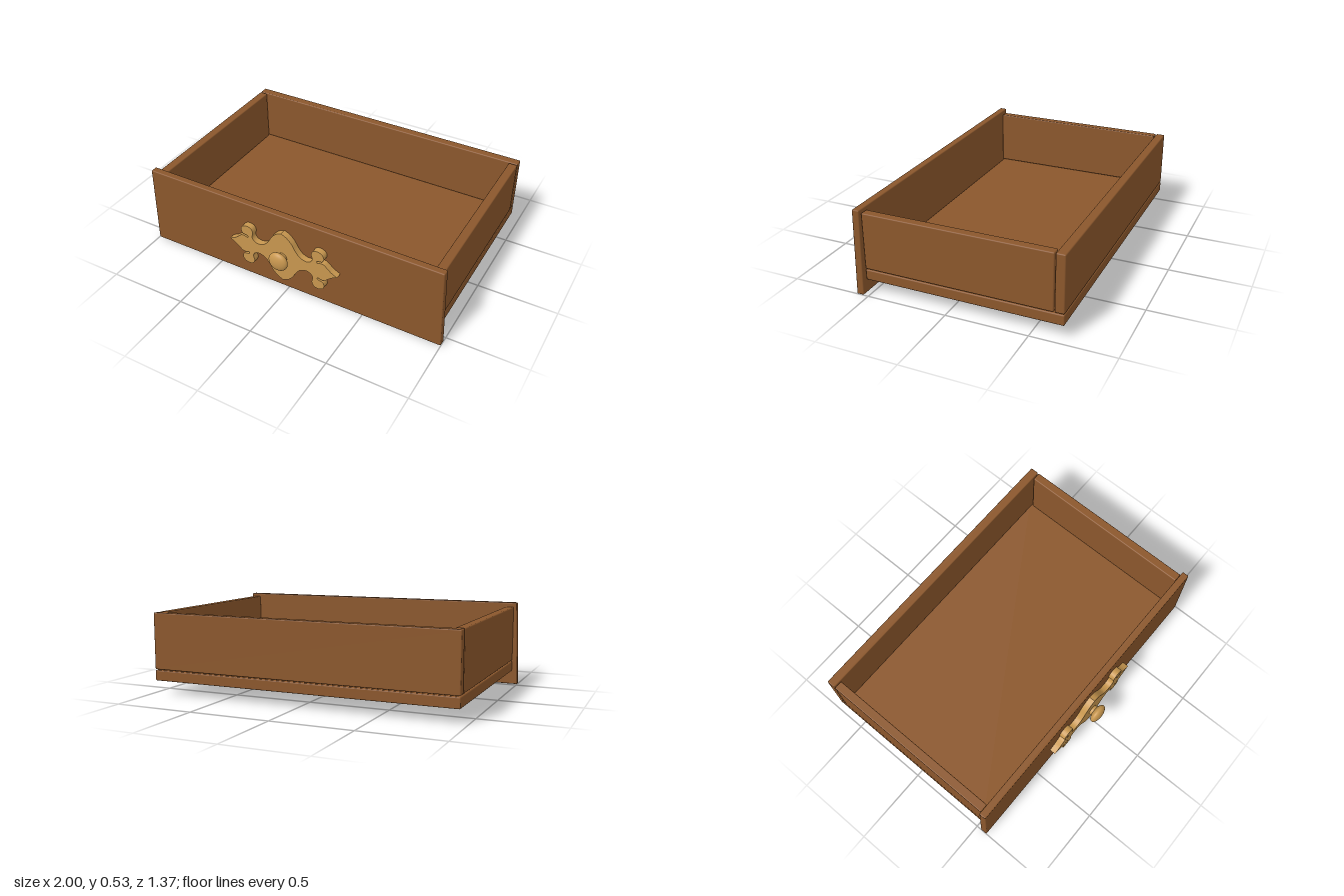
import * as THREE from 'three';
import { RoundedBoxGeometry } from 'three/addons/geometries/RoundedBoxGeometry.js';

export function createModel() {
  const drawer = new THREE.Group();
  drawer.name = 'drawer';
  const wood = new THREE.MeshStandardMaterial({ color: 0x8b572c });
  wood.name = 'wood';
  const brass = new THREE.MeshStandardMaterial({ color: 0xc8974f });
  brass.name = 'brass';

  const add = (parent, name, geometry, material) => {
    const mesh = new THREE.Mesh(geometry, material);
    mesh.name = name;
    parent.add(mesh);
    return mesh;
  };

  // A board with softened edges, given by its limits on each axis
  const board = (name, [x0, x1], [y0, y1], [z0, z1]) => {
    const geometry = new RoundedBoxGeometry(x1 - x0, y1 - y0, z1 - z0, 2, 0.007);
    geometry.translate((x0 + x1) / 2, (y0 + y1) / 2, (z0 + z1) / 2);
    return add(drawer, name, geometry, wood);
  };

  // Box of the drawer
  board('bottomPanel', [-0.965, 0.965], [0.087, 0.152], [-0.687, 0.527]);
  board('backPanel', [-0.965, 0.965], [0.157, 0.507], [-0.687, -0.631]);
  board('leftPanel', [0.91, 0.965], [0.157, 0.507], [-0.625, 0.527]);
  board('rightPanel', [-0.965, -0.91], [0.157, 0.507], [-0.625, 0.527]);

  // Front panel, narrowing slightly upward with a faintly sloping top
  const front = board('frontPanel', [-1, 1], [0, 0.53], [0.53, 0.575]);
  const p = front.geometry.attributes.position;
  for (let i = 0; i < p.count; i++) {
    const x = p.getX(i), t = p.getY(i) / 0.53;
    p.setXYZ(i, x * (1 - 0.019 * t), p.getY(i) + t * (0.0005 - 0.0035 * x), p.getZ(i));
  }

  // Handle, sitting a touch off centre
  const handle = new THREE.Group();
  handle.name = 'handle';
  handle.position.set(-0.015, 0.261, 0);
  drawer.add(handle);

  // One quarter of the plate outline: smooth runs that meet at sharp corners
  const runs = [
    [[0, 0.177], [0.035, 0.16], [0.067, 0.128], [0.095, 0.08], [0.125, 0.048], [0.165, 0.036],
      [0.192, 0.045], [0.207, 0.07], [0.2, 0.105], [0.213, 0.132], [0.243, 0.141], [0.274, 0.128],
      [0.284, 0.102], [0.272, 0.077], [0.246, 0.072]],
    [[0.246, 0.072], [0.235, 0.064], [0.24, 0.056], [0.262, 0.062], [0.282, 0.06], [0.302, 0.045],
      [0.33, 0.021], [0.37, 0]],
  ];
  const quarter = runs.flatMap((run) =>
    new THREE.CatmullRomCurve3(run.map(([x, y]) => new THREE.Vector3(x, y, 0)), false, 'centripetal')
      .getPoints(run.length * 4).slice(0, -1));
  quarter.push(new THREE.Vector3(0.37, 0, 0));

  const mirror = (pts, sx, sy) => pts.map((q) => new THREE.Vector2(q.x * sx, q.y * sy));
  const outline = [
    ...mirror(quarter, 1, 1),
    ...mirror(quarter, 1, -1).reverse().slice(1),
    ...mirror(quarter, -1, -1).slice(1),
    ...mirror(quarter, -1, 1).reverse().slice(1, -1),
  ];
  const plate = new THREE.ExtrudeGeometry(new THREE.Shape(outline), {
    depth: 0.043, bevelEnabled: false,
  });
  plate.translate(0, 0, 0.571);
  add(handle, 'handlePlate', plate, brass);

  // Knob on a short stem
  const stem = new THREE.CylinderGeometry(0.033, 0.033, 0.05, 32);
  stem.rotateX(Math.PI / 2);
  add(handle, 'knobStem', stem, brass).position.z = 0.624;
  const knob = new THREE.SphereGeometry(1, 40, 24);
  knob.rotateX(Math.PI / 2);
  knob.scale(0.063, 0.063, 0.03);
  add(handle, 'knob', knob, brass).position.z = 0.657;

  return drawer;
}
